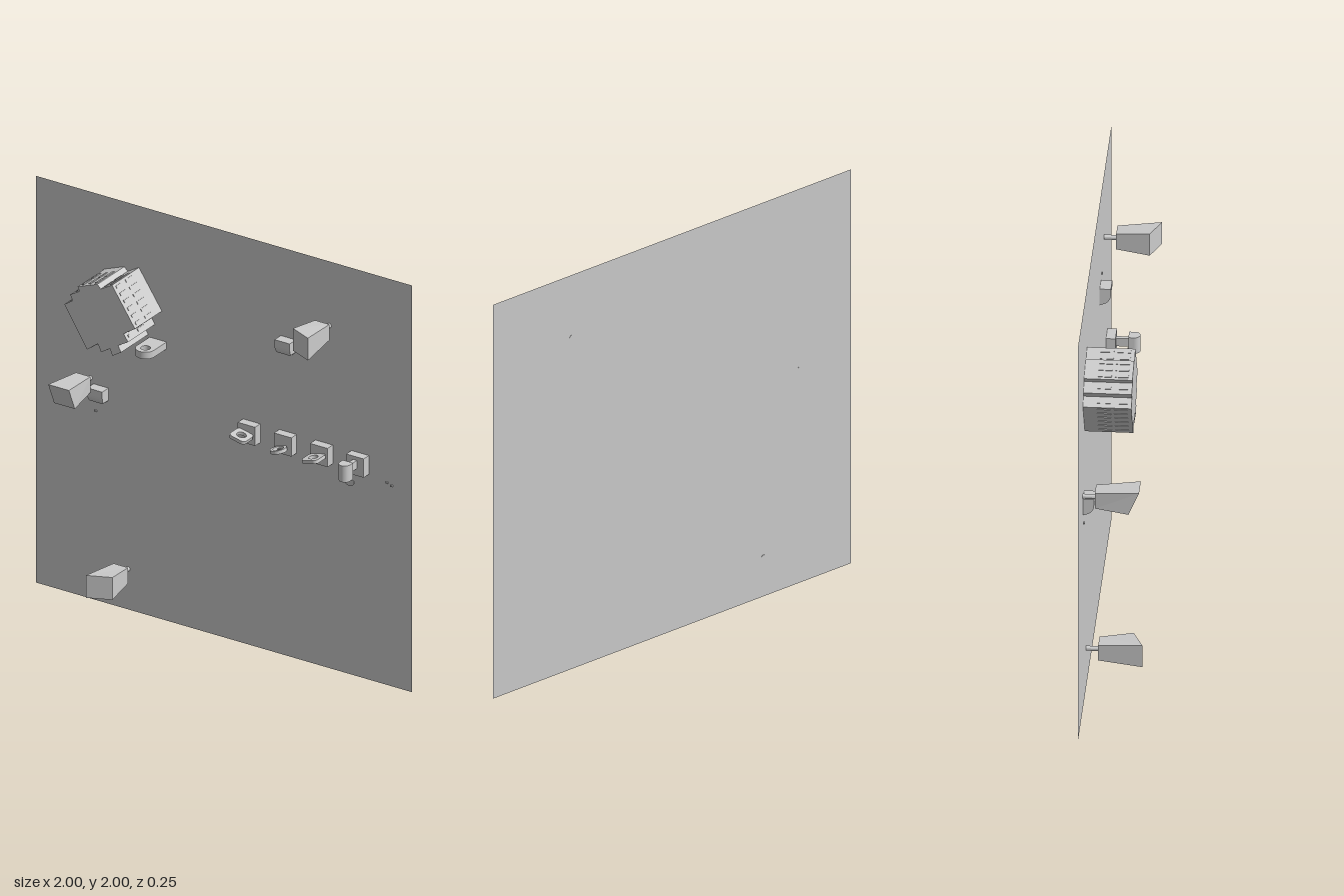
import * as THREE from 'three';

const BACK = -0.127;
const grey = new THREE.MeshStandardMaterial({ color: 0xcccccc, side: THREE.DoubleSide, flatShading: true });

function add(parent, name, geometry, x = 0, y = 0, z = 0) {
  const mesh = new THREE.Mesh(geometry, grey);
  mesh.name = name;
  mesh.position.set(x, y, z);
  parent.add(mesh);
  return mesh;
}

// Moves every vertex of a geometry by a rule
function reshape(geometry, rule) {
  const p = geometry.attributes.position, v = new THREE.Vector3();
  for (let i = 0; i < p.count; i++) {
    rule(v.fromBufferAttribute(p, i));
    p.setXYZ(i, v.x, v.y, v.z);
  }
  geometry.computeVertexNormals();
  return geometry;
}

// Tapered housing with a slanted front, on a short arm
function hood(root, name, x, y, slantX, slantY) {
  const g = new THREE.Group();
  g.name = name;
  g.position.set(x, y, 0);
  root.add(g);
  add(g, 'housing', reshape(new THREE.BoxGeometry(0.11, 0.11, 1), (v) => {
    if (v.z < 0) {
      v.x *= 0.7;
      v.y *= 0.7;
      v.z = -0.07;
    } else {
      const t = slantX * Math.sign(v.x) + slantY * Math.sign(v.y);
      v.z = t < 0 ? 0.08 : 0.127;
    }
  }));
  add(g, 'arm', new THREE.CylinderGeometry(0.011, 0.011, 0.06, 12).rotateX(Math.PI / 2), 0, 0, -0.098);
}

// Small wall unit whose front curves back toward its bottom
function roundedUnit(root, x, y) {
  add(root, 'roundedUnit', reshape(new THREE.BoxGeometry(0.08, 0.08, 0.05, 6, 8, 1), (v) => {
    if (v.z > 0) {
      const t = Math.max(0, (0.012 - v.y) / 0.052);
      v.z = -0.025 + 0.05 * Math.sqrt(Math.max(0.02, 1 - t * t));
    }
    if (v.x > 0.02 && v.y < -0.02) v.y = Math.max(v.y, -0.04 + (v.x - 0.02));
  }), x, y, BACK + 0.025);
}

// Flat outline, extruded upward and centred in thickness
function slab(shape, h) {
  return new THREE.ExtrudeGeometry(shape, { depth: h, bevelEnabled: false, curveSegments: 16 })
    .translate(0, 0, -h / 2).rotateX(-Math.PI / 2);
}

function hole(shape, x, y, r) {
  const path = new THREE.Path();
  path.absarc(x, y, r, 0, Math.PI * 2, true);
  shape.holes.push(path);
  return shape;
}

function roundedSquare(w, r) {
  const s = new THREE.Shape(), a = w / 2 - r;
  s.absarc(a, a, r, 0, Math.PI / 2);
  s.absarc(-a, a, r, Math.PI / 2, Math.PI);
  s.absarc(-a, -a, r, Math.PI, Math.PI * 1.5);
  s.absarc(a, -a, r, Math.PI * 1.5, Math.PI * 2);
  return s;
}

export function createModel() {
  const root = new THREE.Group();
  root.name = 'wallPanel';
  add(root, 'panel', new THREE.PlaneGeometry(2, 2), 0, 1, BACK);

  // Large stepped block, turned on the panel
  const outline = [
    [-0.705, 1.535], [-0.66, 1.565], [-0.675, 1.59], [-0.625, 1.62], [-0.635, 1.64],
    [-0.53, 1.68], [-0.512, 1.662], [-0.452, 1.697], [-0.33, 1.515], [-0.39, 1.475],
    [-0.367, 1.44], [-0.42, 1.408], [-0.403, 1.38], [-0.45, 1.35], [-0.463, 1.382],
    [-0.51, 1.352], [-0.527, 1.388], [-0.585, 1.345],
  ].map(([x, y]) => new THREE.Vector2(x, y));
  const block = new THREE.Group();
  block.name = 'steppedBlock';
  root.add(block);
  add(block, 'blockBody', new THREE.ExtrudeGeometry(new THREE.Shape(outline), { depth: 0.215, bevelEnabled: false }), 0, 0, BACK);

  // Two rows of low ridges along the walls
  outline.forEach((a, i) => {
    const b = outline[(i + 1) % outline.length];
    const length = a.distanceTo(b), count = Math.floor(length / 0.033);
    for (let k = 0; k < count; k++) {
      const p = a.clone().lerp(b, (k + 0.5) / count);
      for (const z of [-0.035, 0.04]) {
        const ridge = add(block, 'ridge', new THREE.BoxGeometry(0.013, 0.006, 0.06), p.x, p.y, z);
        ridge.rotation.z = Math.atan2(b.y - a.y, b.x - a.x);
      }
    }
  });

  // Round-ended bracket with a hole, below the block
  const bracket = new THREE.Shape();
  bracket.moveTo(-0.045, -0.1);
  bracket.lineTo(0.045, -0.1);
  bracket.lineTo(0.045, 0);
  bracket.absarc(0, 0, 0.045, 0, Math.PI);
  bracket.closePath();
  // the shape's +y becomes the front after laying it flat
  const bracketMesh = add(root, 'bracket', slab(hole(bracket, 0, 0, 0.022), 0.034), -0.35, 1.353, -0.027);
  bracketMesh.rotation.x = Math.PI;

  // Three tapered housings and two rounded units
  hood(root, 'upperHood', 0.56, 1.685, 1, 0);
  hood(root, 'middleHood', -0.71, 1.085, 0, 1);
  hood(root, 'lowerHood', -0.51, 0.2, -1, 0);
  roundedUnit(root, 0.342, 1.526);
  roundedUnit(root, -0.654, 1.02);

  // Row of four mounting blocks
  const xs = [0.147, 0.34, 0.532, 0.724];
  for (const x of xs) add(root, 'mountingBlock', new THREE.BoxGeometry(0.092, 0.092, 0.042), x, 1.056, BACK + 0.021);

  // Tilted plates and ring on the first three blocks
  const plateA = add(root, 'squarePlate', slab(hole(roundedSquare(0.086, 0.02), 0, 0, 0.022), 0.016), xs[0], 1.062, -0.044);
  plateA.rotation.z = -0.22;
  const disc = new THREE.Shape().absarc(0, 0, 0.038, 0, Math.PI * 2);
  const plateB = add(root, 'ringPlate', slab(hole(disc, 0, 0, 0.025), 0.016), xs[1], 1.044, -0.052);
  plateB.rotation.z = 0.25;
  add(plateB, 'ringTongue', new THREE.BoxGeometry(0.03, 0.012, 0.01), 0.012, 0, 0);
  const plateC = add(root, 'squarePlate', slab(hole(roundedSquare(0.086, 0.02), 0, 0, 0.022), 0.016), xs[2], 1.056, -0.044);
  plateC.rotation.z = 0.22;

  // Upright lever on the fourth block
  const lever = new THREE.Group();
  lever.name = 'lever';
  lever.position.x = xs[3];
  root.add(lever);
  add(lever, 'leverStem', new THREE.BoxGeometry(0.02, 0.04, 0.065), 0, 1.065, -0.055);
  const grip = new THREE.Shape();
  grip.moveTo(-0.027, 0.025);
  grip.lineTo(-0.027, 0);
  grip.absarc(0, 0, 0.027, Math.PI, Math.PI * 2);
  grip.lineTo(0.027, 0.025);
  add(lever, 'leverGrip', slab(grip, 0.08), 0, 1.06, -0.004);
  const flap = add(lever, 'leverFlap', new THREE.CylinderGeometry(0.028, 0.028, 0.006, 16).rotateX(Math.PI / 2), 0, 1.003, -0.037);
  flap.rotation.x = 0.25;

  // Tiny pins
  for (const [x, y] of [[0.868, 0.997], [0.892, 0.987], [-0.68, 0.932], [0.415, 1.583]]) {
    add(root, 'pin', new THREE.BoxGeometry(0.012, 0.008, 0.006), x, y, BACK + 0.004);
  }
  return root;
}
